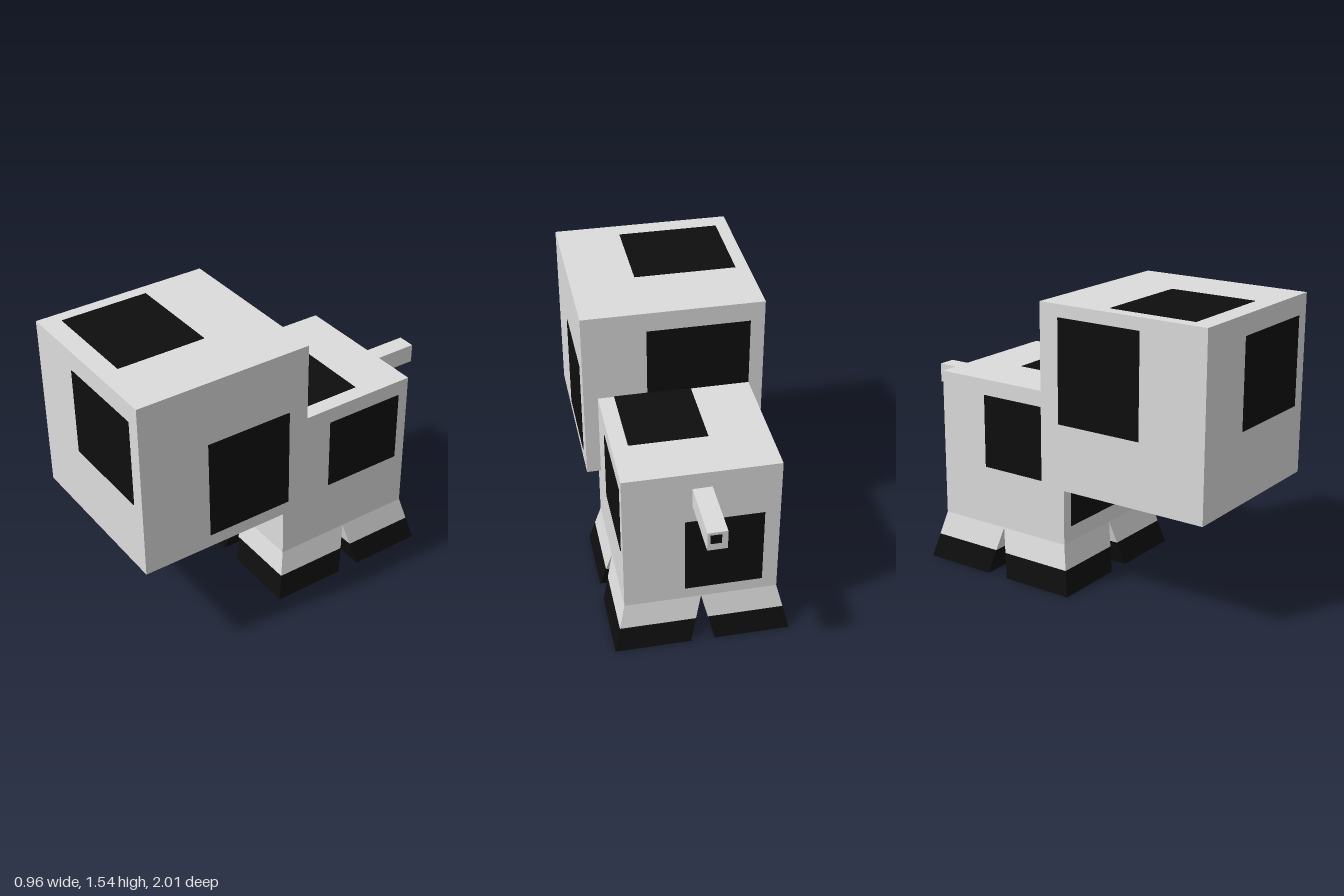
import * as THREE from 'three';

export function createModel() {
  const model = new THREE.Group();
  model.name = 'blockyCow';

  const hide = new THREE.MeshStandardMaterial({ color: 0xdcdcdc });
  hide.name = 'paleGrey';
  const patch = new THREE.MeshStandardMaterial({ color: 0x0e0e0e });
  patch.name = 'black';

  // Box given by its lower and upper limits on each axis
  function addBox(name, x, y, z, material, parent = model) {
    const geometry = new THREE.BoxGeometry(x[1] - x[0], y[1] - y[0], z[1] - z[0]);
    const mesh = new THREE.Mesh(geometry, material);
    mesh.position.set((x[0] + x[1]) / 2, (y[0] + y[1]) / 2, (z[0] + z[1]) / 2);
    mesh.name = name;
    parent.add(mesh);
    return mesh;
  }

  // Thin plate lying on a face
  const around = (v) => [v - 0.003, v + 0.003];
  const addPatch = (name, x, y, z) => addBox(name, x, y, z, patch);

  // Main blocks
  addBox('body', [-0.4, 0.4], [0.255, 1.055], [-0.665, 0.135], hide);
  addBox('head', [-0.475, 0.475], [0.585, 1.535], [0.05, 1], hide);
  addBox('tail', [-0.05, 0.05], [0.86, 0.965], [-1, -0.665], hide);

  // Head patches
  addPatch('headFrontPatch', [-0.13, 0.4], [0.96, 1.43], around(1));
  addPatch('headBackPatch', [-0.4, 0.14], [0.96, 1.43], around(0.05));
  addPatch('headLeftPatch', around(0.475), [0.655, 1.195], [0.16, 0.63]);
  addPatch('headRightPatch', around(-0.475), [0.93, 1.47], [0.16, 0.635]);
  addPatch('headTopPatch', [-0.405, 0.135], around(1.535), [0.42, 0.895]);
  addPatch('headBottomPatch', [-0.13, 0.41], around(0.585), [0.43, 0.885]);

  // Body patches
  addPatch('bodyFrontPatch', [-0.34, 0.11], [0.34, 0.74], around(0.135));
  addPatch('bodyBackPatch', [-0.32, 0.085], [0.32, 0.76], around(-0.665));
  addPatch('bodyLeftPatch', around(0.4), [0.575, 0.97], [-0.605, -0.155]);
  addPatch('bodyRightPatch', around(-0.4), [0.575, 0.97], [-0.38, 0.07]);
  addPatch('bodyTopPatch', [-0.09, 0.315], around(1.055), [-0.38, 0.07]);
  addPatch('tailTipPatch', [-0.02, 0.035], [0.9, 0.95], around(-1));

  // Legs: boxes sheared outwards towards the ground, with dark hooves
  const legTop = 0.255, hoofTop = 0.128, splay = 0.063;
  function shearedBlock(y0, y1, sx, sz) {
    const geometry = new THREE.BoxGeometry(0.4, y1 - y0, 0.4).translate(0, (y0 + y1) / 2, 0);
    const p = geometry.attributes.position;
    for (let i = 0; i < p.count; i++) {
      const shift = splay * (1 - p.getY(i) / legTop);
      p.setX(i, p.getX(i) + sx * shift);
      p.setZ(i, p.getZ(i) + sz * shift);
    }
    geometry.computeVertexNormals();
    return geometry;
  }
  for (const sx of [-1, 1]) {
    for (const sz of [-1, 1]) {
      const leg = new THREE.Group();
      leg.name = (sz > 0 ? 'front' : 'back') + (sx > 0 ? 'Left' : 'Right') + 'Leg';
      leg.position.set(sx * 0.2, 0, -0.265 + sz * 0.2);
      const shin = new THREE.Mesh(shearedBlock(hoofTop, legTop, sx, sz), hide);
      shin.name = 'shin';
      const hoof = new THREE.Mesh(shearedBlock(0, hoofTop, sx, sz), patch);
      hoof.name = 'hoof';
      leg.add(shin, hoof);
      model.add(leg);
    }
  }
  return model;
}
